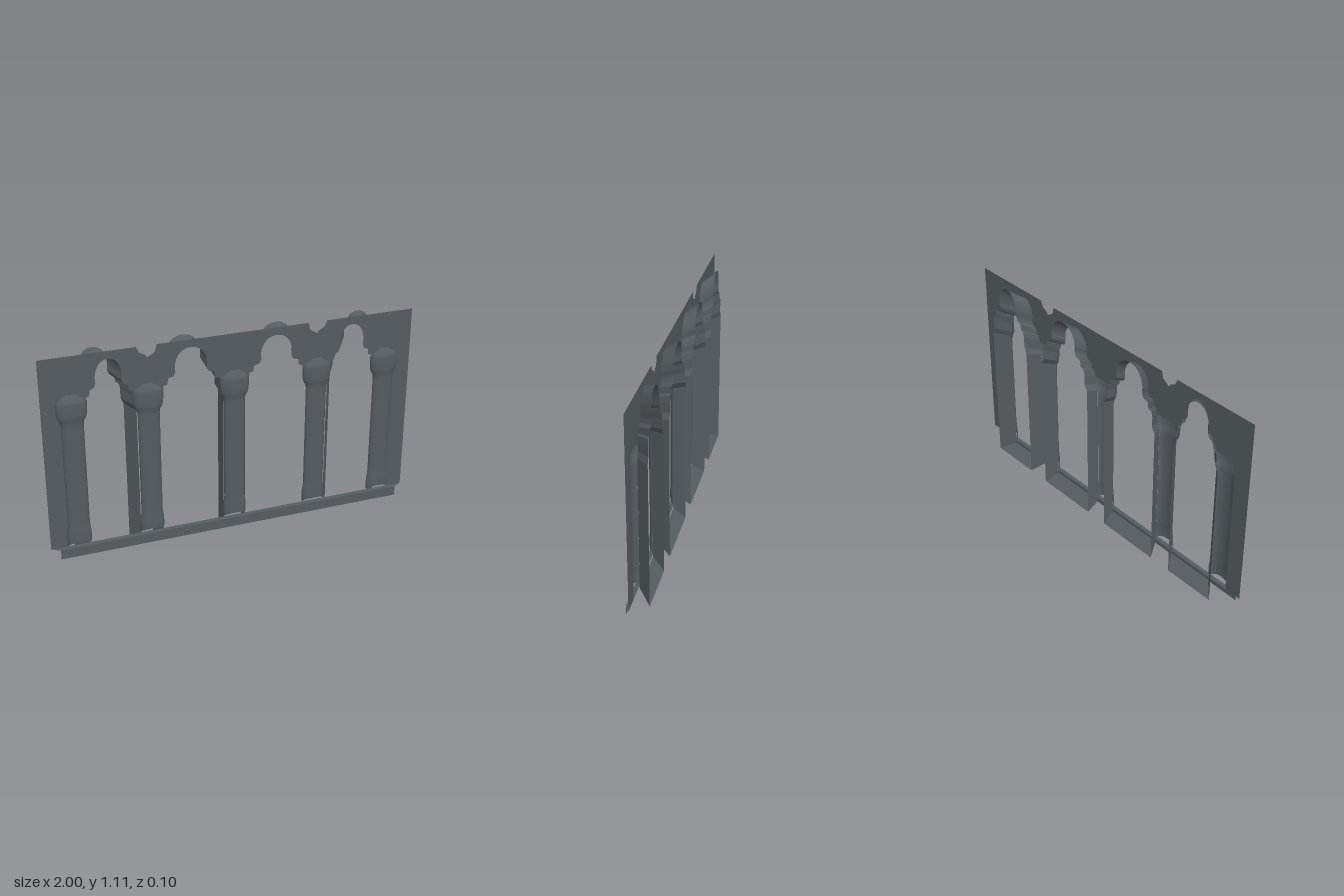
import * as THREE from 'three';

const WALL_Z = 0.015, BACK_Z = -0.052, BACK_SCALE = 1.09, MID_Y = 0.565;
const smooth = new THREE.MeshStandardMaterial({ color: 0x555c60, side: THREE.DoubleSide });
const faceted = smooth.clone();
faceted.flatShading = true;

// Right half of a trefoil arch, from the capital to the apex: [fraction of half width, y]
const archHalf = [[0.9, 0.85], [0.86, 0.88], [0.74, 0.885], [0.72, 0.915], [0.55, 0.925], [0.49, 0.945], [0.49, 0.96]];
for (let i = 0; i <= 10; i++) {
  const a = (i / 10) * Math.PI / 2;
  archHalf.push([0.5 * Math.pow(Math.cos(a), 0.9), 0.97 + 0.097 * Math.sin(a)]);
}
// Jamb below the arch
const jambHalf = [[1, 0.048], [1, 0.77], [0.9, 0.80]];

const openings = [[-0.655, 0.135], [-0.23, 0.17], [0.23, 0.17], [0.655, 0.135]];

// Mirrors a half outline into a run from left to right over the apex
function fullOutline(half, [cx, w]) {
  const left = half.map(([f, y]) => [cx - f * w, y]);
  const right = half.slice(0, -1).reverse().map(([f, y]) => [cx + f * w, y]);
  return [...left, ...right];
}

// Surface through cross-sections of equal point count
function loft(rows, closed) {
  const n = rows[0].length, index = [];
  for (let r = 0; r < rows.length - 1; r++) {
    for (let i = 0; i < (closed ? n : n - 1); i++) {
      const a = r * n + i, b = r * n + (i + 1) % n;
      index.push(a, b, a + n, b, b + n, a + n);
    }
  }
  const g = new THREE.BufferGeometry();
  g.setAttribute('position', new THREE.Float32BufferAttribute(rows.flat(2), 3));
  g.setIndex(index);
  g.computeVertexNormals();
  return g;
}

// Thin front wall: side panels, spandrels over the piers, broken notches in the top edge
function wallGeometry() {
  const notch = [[-0.51, 1.108], [-0.495, 1.075], [-0.465, 1.06], [-0.455, 1.045], [-0.43, 1.06], [-0.415, 1.07], [-0.405, 1.108]];
  const pts = [
    [-1, 0.065], [-0.905, 0.065], [-0.905, 0.85],
    ...openings.flatMap(o => fullOutline(archHalf, o)),
    [0.905, 0.85], [0.905, 0.065], [1, 0.065], [1, 1.108],
    ...notch.map(([x, y]) => [-x, y]),
    ...notch.slice().reverse(),
    [-1, 1.108],
  ];
  const shape = new THREE.Shape(pts.map(([x, y]) => new THREE.Vector2(x, y)));
  return new THREE.ShapeGeometry(shape).translate(0, 0, WALL_Z);
}

// Splayed reveal that widens towards the back, with a sloping sill
function revealGeometry(opening) {
  const loop = fullOutline([...jambHalf, ...archHalf], opening);
  const front = loop.map(([x, y]) => [x, y, WALL_Z]);
  const back = loop.map(([x, y]) => [x * BACK_SCALE, MID_Y + (y - MID_Y) * BACK_SCALE, BACK_Z]);
  return loft([front, back], true);
}

// Hollow half column with base, shaft and chamfered capital
function columnGeometry() {
  const profile = [
    [0.062, 0.07], [0.064, 0.10], [0.064, 0.14], [0.06, 0.165], [0.057, 0.19],
    [0.057, 0.74], [0.06, 0.765], [0.07, 0.78], [0.077, 0.80], [0.08, 0.865], [0.066, 0.88], [0.02, 0.912],
  ].map(([r, y]) => new THREE.Vector2(r, y));
  const g = new THREE.LatheGeometry(profile, 20, -Math.PI / 2, Math.PI);
  g.scale(1, 1, 0.45);
  // Hollow out the underside of the base
  const p = g.attributes.position;
  for (let i = 0; i < p.count; i++) {
    if (p.getY(i) < 0.08) p.setY(i, p.getY(i) + p.getZ(i) * 0.8);
  }
  g.computeVertexNormals();
  return g;
}

export function createModel() {
  const model = new THREE.Group();
  model.name = 'arcade';
  const add = (name, geometry, material) => {
    const mesh = new THREE.Mesh(geometry, material);
    mesh.name = name;
    model.add(mesh);
    return mesh;
  };

  add('wall', wallGeometry(), faceted);
  openings.forEach((o, i) => add('archReveal' + (i + 1), revealGeometry(o), faceted));

  const column = columnGeometry();
  [-0.848, -0.458, 0, 0.458, 0.848].forEach((x, i) => {
    add('column' + (i + 1), column, smooth).position.set(x, 0, WALL_Z);
  });

  // Plinth: a ledge in front of the wall and a short drop below it
  const plinth = [[1, 0.065, WALL_Z], [0.955, 0.063, 0.04], [0.955, 0.01, 0.04]];
  add('plinth', loft(plinth.map(([x, y, z]) => [[-x, y, z], [x, y, z]]), false), faceted);

  return model;
}
